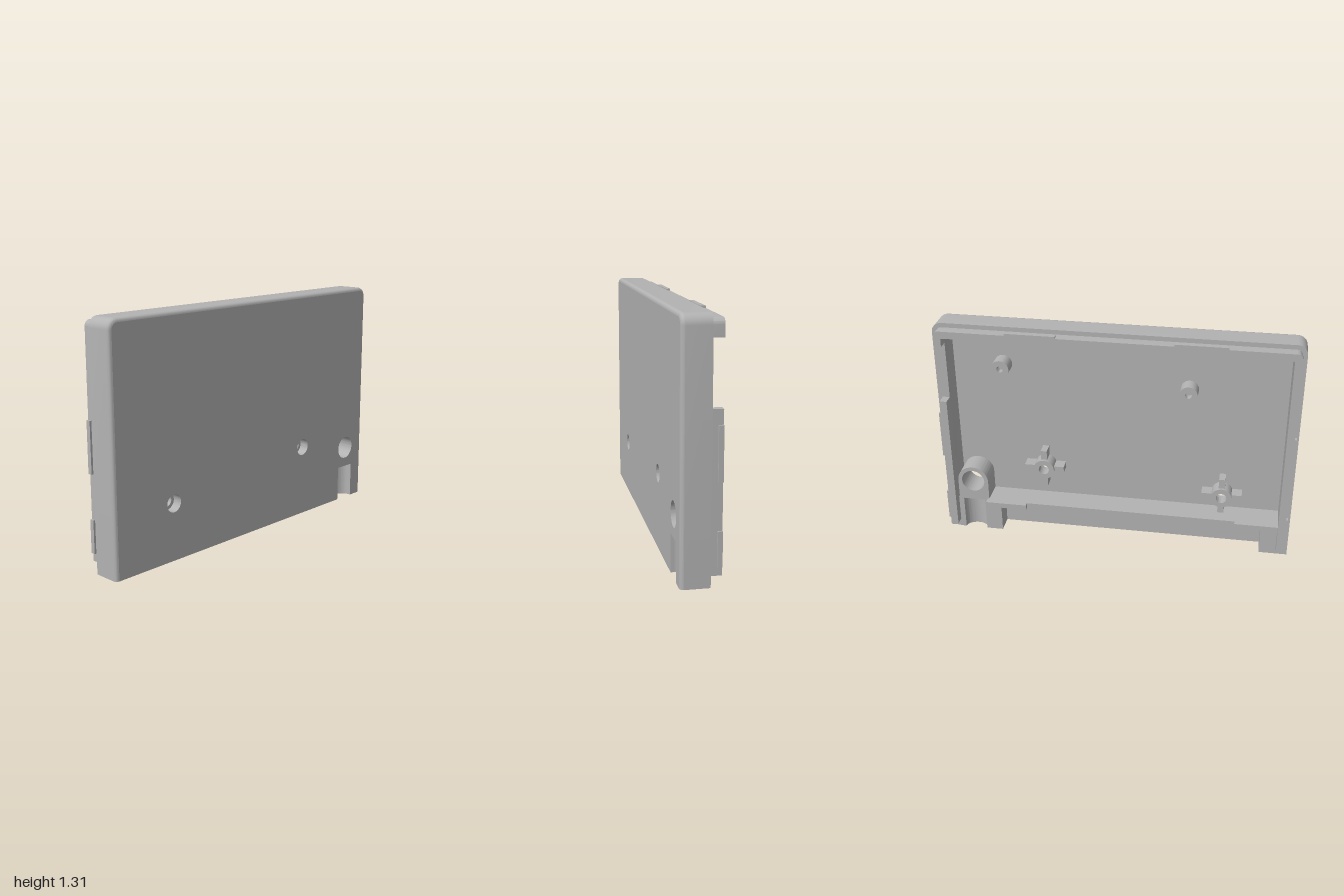
import * as THREE from 'three';
import { toCreasedNormals } from 'three/addons/utils/BufferGeometryUtils.js';

const H = 1.31, RADIUS = 0.055;      // case height and corner radius
const FRONT = 0.105, INNER = 0.085;  // front face and inside of the face plate
const RIM = -0.045, LIP = -0.105;    // rear of outer wall and of the inner lip

// Arch-shaped outline, inset by d, from the +x foot over the top to the -x foot
function outline(d, yRight = 0, yLeft = 0) {
  const r = Math.max(RADIUS - d, 0.008), x = 1 - d, y = H - d;
  const pts = [new THREE.Vector2(x, yRight)];
  for (const [cx, start] of [[x - r, 0], [-x + r, Math.PI / 2]]) {
    for (let i = 0; i <= 8; i++) {
      const a = start + (i / 8) * Math.PI / 2;
      pts.push(new THREE.Vector2(cx + r * Math.cos(a), y - r + r * Math.sin(a)));
    }
  }
  pts.push(new THREE.Vector2(-x, yLeft));
  return pts;
}

function circle(x, y, r) {
  return new THREE.Path().absarc(x, y, r, 0, Math.PI * 2, true);
}

export function createModel() {
  const group = new THREE.Group();
  const grey = new THREE.MeshStandardMaterial({ color: 0xb2b2b2 });
  grey.name = 'grey plastic';

  function add(name, geometry) {
    const mesh = new THREE.Mesh(toCreasedNormals(geometry, 0.6), grey);
    mesh.name = name;
    group.add(mesh);
    return mesh;
  }
  // Box given by its limits on each axis
  function box(name, x0, x1, y0, y1, z0, z1) {
    const g = new THREE.BoxGeometry(x1 - x0, y1 - y0, z1 - z0);
    add(name, g.translate((x0 + x1) / 2, (y0 + y1) / 2, (z0 + z1) / 2));
  }
  // Shape extruded along z
  function slab(name, shape, z0, z1) {
    const g = new THREE.ExtrudeGeometry(shape, { depth: z1 - z0, bevelEnabled: false, curveSegments: 32 });
    add(name, g.translate(0, 0, z0));
  }
  // Arch-shaped wall between two insets
  function wall(name, d0, d1, yRight, yLeft, z0, z1) {
    const pts = [...outline(d0, yRight, yLeft), ...outline(d1, yRight, yLeft).reverse()];
    slab(name, new THREE.Shape(pts), z0, z1);
  }
  // Turned part with its axis along z; profile is [radius, z]
  function turned(name, x, y, profile) {
    const g = new THREE.LatheGeometry(profile.map(p => new THREE.Vector2(...p)), 32);
    add(name, g.rotateX(Math.PI / 2).translate(x, y, 0));
  }

  const screws = [[-0.605, 0.315], [0.425, 0.41]];
  const cable = { x: 0.84, y: 0.325, r: 0.067 };

  // Face plate with screw holes, cable hole and the notch at the bottom
  const face = new THREE.Shape([
    ...outline(0.02),
    ...[[0.775, 0], [0.775, 0.205], [0.905, 0.205], [0.905, 0]].map(p => new THREE.Vector2(...p)),
  ]);
  for (const [x, y] of screws) face.holes.push(circle(x, y, 0.048));
  face.holes.push(circle(cable.x, cable.y, cable.r));
  slab('facePlate', face, INNER, FRONT);

  // Rounded front edge along the sides and top
  const rings = [], index = [], steps = 5;
  for (let k = 0; k <= steps; k++) {
    const a = (k / steps) * Math.PI / 2;
    rings.push(outline(0.02 * (1 - Math.cos(a))).map(p => [p.x, p.y, INNER + 0.02 * Math.sin(a)]));
  }
  const n = rings[0].length;
  for (let k = 0; k < steps; k++) {
    for (let i = 0; i < n - 1; i++) {
      const a = k * n + i, b = a + n;
      index.push(a, a + 1, b + 1, a, b + 1, b);
    }
  }
  const edge = new THREE.BufferGeometry();
  edge.setAttribute('position', new THREE.Float32BufferAttribute(rings.flat(2), 3));
  edge.setIndex(index);
  edge.computeVertexNormals();
  add('roundedFrontEdge', edge);

  // Outer wall, and the stepped lip with a gap on the +x side
  wall('outerWall', 0, 0.065, 0, 0, RIM, INNER);
  wall('innerLip', 0.025, 0.065, 1.195, 0.05, LIP, RIM);
  box('innerLipSide', 0.935, 0.975, 0.05, 0.865, LIP, RIM);

  // Snap ridges on the lip
  for (const [x0, x1] of [[-0.6, -0.32], [0.31, 0.585]]) {
    box('topSnapRidge', x0, x1, 1.28, 1.296, LIP, -0.08);
  }
  for (const [y0, y1] of [[0.515, 0.79], [0.095, 0.275]]) {
    box('sideSnapRidge', 0.97, 0.986, y0, y1, LIP, -0.08);
    box('sideSnapRidge', -0.986, -0.97, y0, y1, LIP, -0.08);
  }

  // Bottom recess: thick back, end block and the shelf above
  box('recessBack', -0.85, 0.69, 0, 0.19, 0.055, 0.086);
  box('recessEnd', -0.94, -0.84, 0, 0.19, RIM, 0.086);
  box('shelf', -0.94, 0.76, 0.18, 0.21, -0.065, 0.086);
  box('shelfTab', 0.52, 0.76, 0.18, 0.21, -0.09, -0.064);
  box('shelfTab', -0.94, -0.69, 0.18, 0.21, -0.09, -0.064);

  // Cable block with an upright groove on its front and back
  const block = new THREE.Shape();
  block.moveTo(0.68, -0.086);
  block.lineTo(0.775, -0.086);
  block.absellipse(cable.x, -0.086, 0.065, 0.05, Math.PI, 0, true);
  block.lineTo(0.94, -0.086);
  block.lineTo(0.94, 0.05);
  block.lineTo(0.905, 0.05);
  block.absellipse(cable.x, 0.05, 0.065, 0.05, 0, Math.PI, true);
  block.lineTo(0.68, 0.05);
  const blockGeometry = new THREE.ExtrudeGeometry(block, { depth: 0.205, bevelEnabled: false, curveSegments: 20 });
  add('cableBlock', blockGeometry.rotateX(-Math.PI / 2));

  // Arched sleeve around the cable hole
  const sleeve = new THREE.Shape();
  sleeve.moveTo(cable.x - 0.09, 0.2);
  sleeve.lineTo(cable.x + 0.09, 0.2);
  sleeve.absarc(cable.x, cable.y, 0.09, 0, Math.PI, false);
  sleeve.holes.push(circle(cable.x, cable.y, cable.r));
  slab('cableSleeve', sleeve, -0.05, INNER);

  // Screw bosses with a sunken front and four fins
  for (const [x, y] of screws) {
    turned('screwBoss', x, y, [[0.048, INNER], [0.048, 0.05], [0.03, 0.05], [0.03, 0], [0.06, 0], [0.06, INNER]]);
    for (const s of [-1, 1]) {
      const a = s * 0.085;
      box('bossFin', x + a - 0.03, x + a + 0.03, y - 0.018, y + 0.018, 0.015, 0.086);
      box('bossFin', x - 0.018, x + 0.018, y + a - 0.03, y + a + 0.03, 0.015, 0.086);
    }
  }

  // Blind posts
  for (const [x, y] of [[0.65, 1.035], [-0.395, 0.955]]) {
    turned('post', x, y, [[0, 0.04], [0.018, 0.04], [0.018, 0], [0.05, 0], [0.05, INNER]]);
  }
  return group;
}
